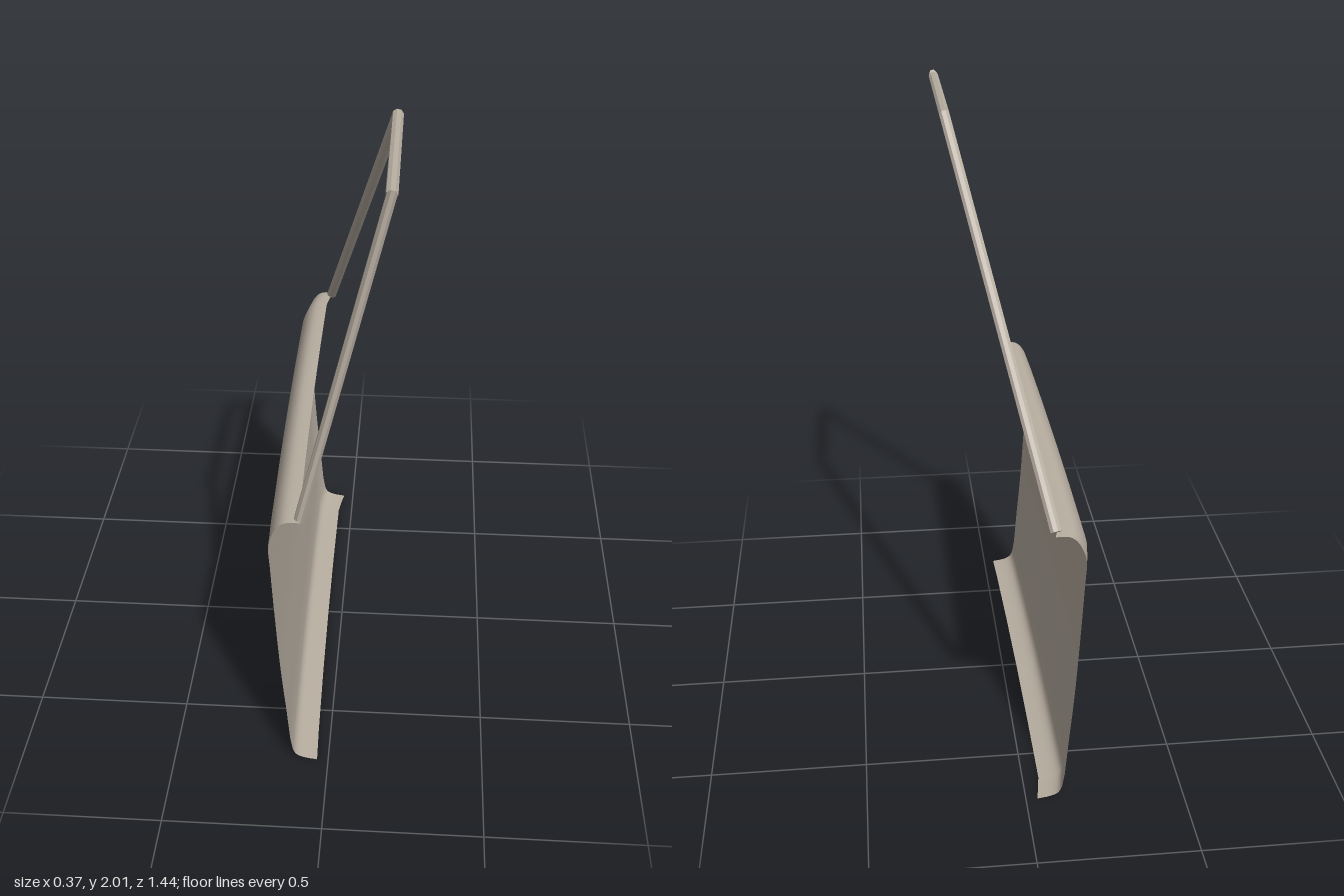
import * as THREE from 'three';

const paint = new THREE.MeshStandardMaterial({ color: 0xb8aea1, side: THREE.DoubleSide });
paint.name = 'warm grey paint';

// Straight bar with oval eight-sided section; ma and mb are the mitre directions at its ends
function bar(name, a, b, ma, mb, normal, h, k) {
  const sides = 8, pos = [], idx = [];
  for (const [p, m] of [[a, ma], [b, mb]]) {
    for (let i = 0; i < sides; i++) {
      const t = ((i + 0.5) / sides) * Math.PI * 2, s = 1 / Math.cos(Math.PI / sides);
      const v = p.clone().addScaledVector(m, h * s * Math.cos(t)).addScaledVector(normal, k * s * Math.sin(t));
      pos.push(v.x, v.y, v.z);
    }
  }
  for (let i = 0; i < sides; i++) {
    const j = (i + 1) % sides;
    idx.push(i, i + sides, j, j, i + sides, j + sides);
    if (i > 0 && i < sides - 1) idx.push(0, i, i + 1, sides, sides + i + 1, sides + i);
  }
  let g = new THREE.BufferGeometry();
  g.setAttribute('position', new THREE.Float32BufferAttribute(pos, 3));
  g.setIndex(idx);
  g = g.toNonIndexed();
  g.computeVertexNormals();
  const mesh = new THREE.Mesh(g, paint);
  mesh.name = name;
  return mesh;
}

// Curved door skin: one profile swept along z, bowed slightly outward between its ends
function doorSkin() {
  const profile = new THREE.CatmullRomCurve3([
    [-0.036, 0], [-0.08, 0.008], [-0.103, 0.02], [-0.115, 0.045], [-0.132, 0.22], [-0.147, 0.4],
    [-0.159, 0.6], [-0.169, 0.8], [-0.172, 0.88], [-0.16, 0.922], [-0.142, 0.952], [-0.12, 0.967], [-0.08, 0.969],
  ].map(([x, y]) => new THREE.Vector3(x, y, 0)), false, 'centripetal');
  const stations = [[-0.72, 0], [-0.67, -0.009], [-0.62, -0.016], [-0.3, -0.016], [0, -0.014],
    [0.3, -0.01], [0.6, -0.004], [0.72, 0]];
  const rows = 36;
  const g = new THREE.PlaneGeometry(1, 1, stations.length - 1, rows);
  const p = g.attributes.position;
  for (let r = 0; r <= rows; r++) {
    const c = profile.getPoint(r / rows);
    stations.forEach(([z, bow], i) => {
      const drop = 1 - 0.015 * (0.72 - z) / 1.44;
      p.setXYZ(r * stations.length + i, c.x + bow, c.y * drop, z);
    });
  }
  g.computeVertexNormals();
  const mesh = new THREE.Mesh(g, paint);
  mesh.name = 'doorSkin';
  return mesh;
}

// Leaning window frame of three mitred bars
function windowFrame() {
  const pts = [[-0.083, 0.962, 0.693], [0.168, 1.987, 0.67], [0.168, 1.987, 0.112], [-0.083, 0.958, -0.698]]
    .map((q) => new THREE.Vector3(...q));
  const normal = new THREE.Vector3(0.971, -0.238, 0);
  const perps = [0, 1, 2].map((i) => pts[i + 1].clone().sub(pts[i]).cross(normal).normalize());
  const mitre = (u, v) => u.clone().add(v).divideScalar(1 + u.dot(v));
  const m = [perps[0], mitre(perps[0], perps[1]), mitre(perps[1], perps[2]), perps[2]];
  const group = new THREE.Group();
  group.name = 'windowFrame';
  [['frontPost', 0.02, 0.014], ['topRail', 0.013, 0.016], ['rearPost', 0.013, 0.016]].forEach(([name, h, k], i) => {
    group.add(bar(name, pts[i], pts[i + 1], m[i], m[i + 1], normal, h, k));
  });
  return group;
}

export function createModel() {
  const model = new THREE.Group();
  model.name = 'door';
  model.add(doorSkin(), windowFrame());
  return model;
}
